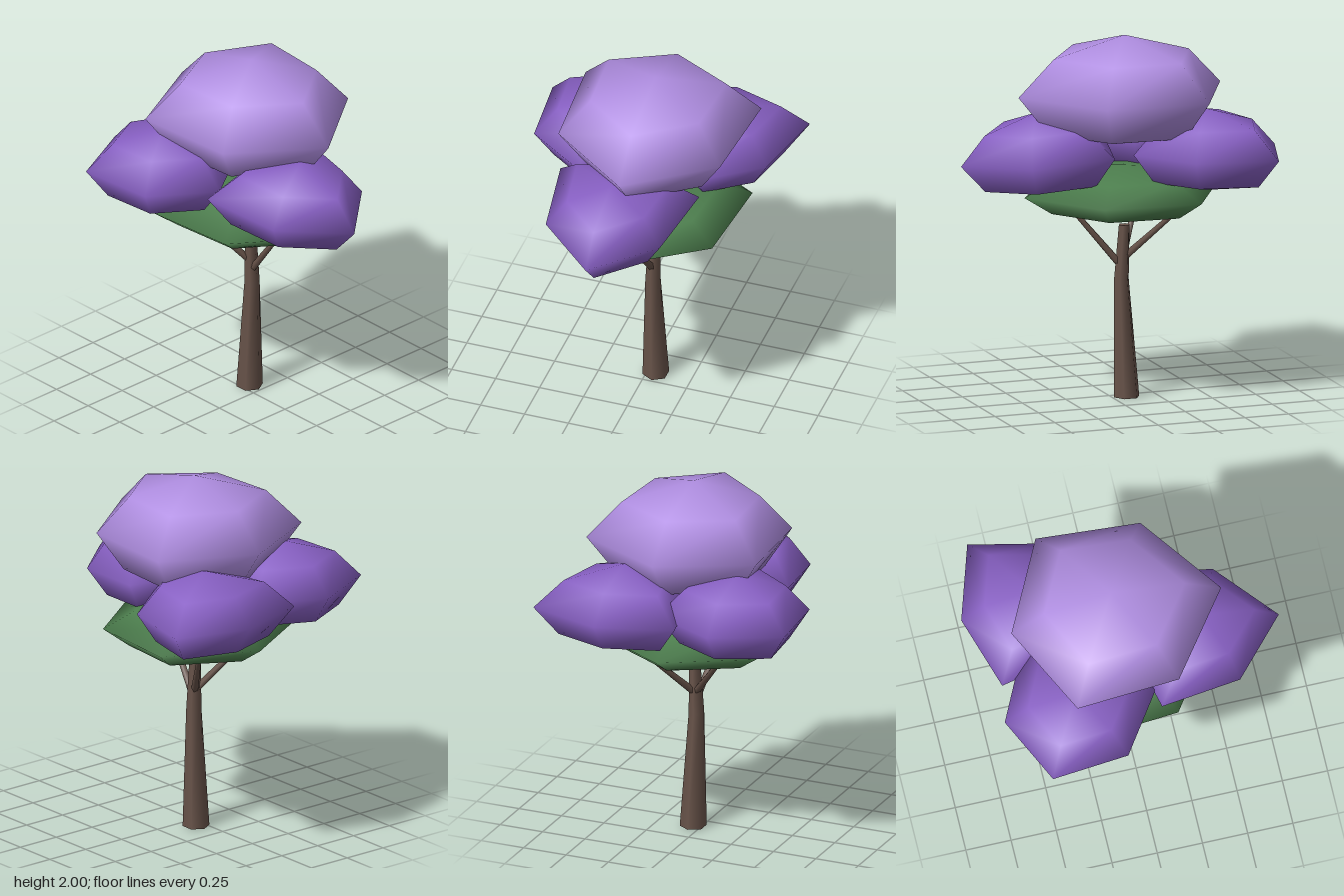
import * as THREE from 'three';

const material = (name, color) => {
  const m = new THREE.MeshStandardMaterial({ color });
  m.name = name;
  return m;
};

// Height and width factors of a foliage clump, bottom to top
const PROFILE = [[-1, 0], [-0.72, 0.72], [0, 1], [0.65, 0.67], [1, 0]];

// Lumpy six-sided clump: outline = half of the widest ring, from +x round to -x
function clumpGeometry(outline, halfHeight) {
  const [front, b, c, back] = outline;
  const ring = [front, b, c, back, [c[0], -c[1]], [b[0], -b[1]]];
  const n = ring.length;
  const pos = [], index = [];
  const rows = PROFILE.slice(1, -1);
  rows.forEach(([h, w]) => ring.forEach(([x, z]) => pos.push(x * w, h * halfHeight, z * w)));
  const bottom = pos.length / 3, top = bottom + 1;
  pos.push(0, -halfHeight, 0, 0, halfHeight, 0);
  for (let i = 0; i < n; i++) {
    const k = (i + 1) % n;
    index.push(bottom, i, k);
    for (let j = 0; j < rows.length - 1; j++) {
      const a = j * n + i, d = j * n + k;
      index.push(a, a + n, d, d, a + n, d + n);
    }
    const last = (rows.length - 1) * n;
    index.push(last + i, top, last + k);
  }
  const g = new THREE.BufferGeometry();
  g.setAttribute('position', new THREE.Float32BufferAttribute(pos, 3));
  g.setIndex(index);
  g.computeVertexNormals();
  return g;
}

// Six-sided trunk that tapers and leans between three levels
function trunkGeometry() {
  const levels = [
    { y: 0, x: -0.082, z: -0.048, r: 0.073 },
    { y: 0.65, x: -0.055, z: -0.041, r: 0.042 },
    { y: 0.95, x: -0.07, z: -0.045, r: 0.031 },
  ];
  const g = new THREE.CylinderGeometry(1, 1, 2, 6, 2).rotateY(Math.PI / 2);
  const p = g.attributes.position;
  for (let i = 0; i < p.count; i++) {
    const l = levels[Math.round(p.getY(i)) + 1];
    p.setXYZ(i, l.x + p.getX(i) * l.r, l.y, l.z + p.getZ(i) * l.r);
  }
  return g;
}

// Thin tapered limb between two points
function branchGeometry(from, to) {
  const a = new THREE.Vector3(...from), b = new THREE.Vector3(...to);
  const dir = b.clone().sub(a);
  const g = new THREE.CylinderGeometry(0.012, 0.021, dir.length(), 5);
  g.applyQuaternion(new THREE.Quaternion().setFromUnitVectors(new THREE.Vector3(0, 1, 0), dir.normalize()));
  const mid = a.add(b).multiplyScalar(0.5);
  return g.translate(mid.x, mid.y, mid.z);
}

export function createModel() {
  const tree = new THREE.Group();
  tree.name = 'tree';
  const bark = material('bark brown', 0x6a554b);
  const leaf = material('leaf green', 0x4d7f4e);
  const violet = material('deep violet', 0x8860c4);
  const lilac = material('pale lilac', 0xb08ee2);

  const add = (name, geometry, mat) => {
    const mesh = new THREE.Mesh(geometry, mat);
    mesh.name = name;
    tree.add(mesh);
    return mesh;
  };

  // Trunk and limbs
  add('trunk', trunkGeometry(), bark);
  add('leftBranch', branchGeometry([-0.05, 0.73, -0.04], [0.27, 1.12, 0.02]), bark);
  add('frontBranch', branchGeometry([-0.06, 0.76, -0.05], [-0.26, 1.1, 0.22]), bark);
  add('backBranch', branchGeometry([-0.06, 0.76, -0.04], [-0.36, 1.1, -0.25]), bark);

  // Foliage: outline points are [x, z] offsets from the clump centre
  const clumps = [
    { name: 'greenUnderside', mat: leaf, at: [-0.06, 1.14, -0.035], h: 0.14, tilt: 0,
      outline: [[0.56, 0], [0.26, 0.43], [-0.28, 0.475], [-0.55, 0]] },
    { name: 'leftBlossom', mat: violet, at: [0.39, 1.365, 0.037], h: 0.225, tilt: -0.09,
      outline: [[0.45, 0], [0.16, 0.325], [-0.29, 0.395], [-0.39, 0]] },
    { name: 'frontBlossom', mat: violet, at: [-0.35, 1.395, 0.33], h: 0.225, tilt: 0,
      outline: [[0.44, 0], [0.21, 0.335], [-0.215, 0.375], [-0.395, 0]] },
    { name: 'backBlossom', mat: violet, at: [-0.45, 1.39, -0.295], h: 0.225, tilt: 0,
      outline: [[0.42, 0], [0.18, 0.32], [-0.26, 0.415], [-0.39, 0]] },
    { name: 'crownBlossom', mat: lilac, at: [-0.07, 1.7, -0.05], h: 0.3, tilt: 0,
      outline: [[0.61, 0], [0.27, 0.46], [-0.3, 0.5], [-0.55, 0]] },
  ];
  for (const c of clumps) {
    const mesh = add(c.name, clumpGeometry(c.outline, c.h), c.mat);
    mesh.position.set(...c.at);
    mesh.rotation.z = c.tilt;
  }
  return tree;
}
